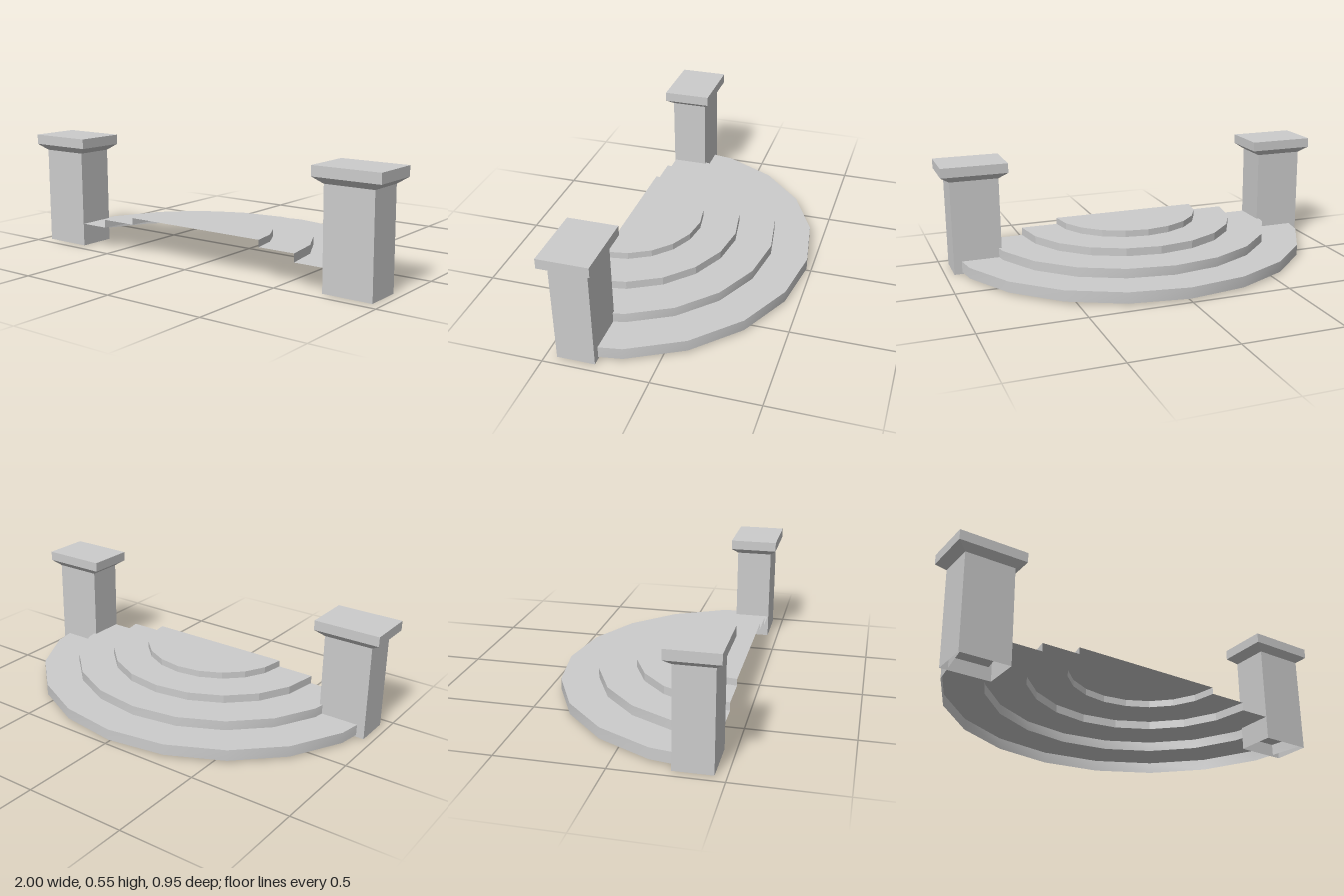
import * as THREE from 'three';

const material = new THREE.MeshStandardMaterial({ color: 0xcccccc, side: THREE.DoubleSide });
const FRONT = 0.443;
const SEGMENTS = 10;

// Surface between consecutive loops of equal length; a last loop of one point closes it as a fan
function loft(loops, smooth = false) {
  const positions = [], index = [], starts = [];
  for (const loop of loops) {
    starts.push(positions.length / 3);
    for (const p of loop) positions.push(...p);
  }
  for (let k = 0; k + 1 < loops.length; k++) {
    const a = starts[k], b = starts[k + 1];
    for (let i = 0; i + 1 < loops[k].length; i++) {
      if (loops[k + 1].length === 1) index.push(a + i, a + i + 1, b);
      else index.push(a + i, a + i + 1, b + i + 1, a + i, b + i + 1, b + i);
    }
  }
  let geometry = new THREE.BufferGeometry();
  geometry.setAttribute('position', new THREE.Float32BufferAttribute(positions, 3));
  geometry.setIndex(index);
  if (!smooth) geometry = geometry.toNonIndexed();
  geometry.computeVertexNormals();
  return geometry;
}

// Half ellipse bulging to the back, from left to right
function arc(rx, depth, y) {
  return Array.from({ length: SEGMENTS + 1 }, (_, i) => {
    const t = (i / SEGMENTS) * Math.PI;
    return [rx * Math.cos(t), y, FRONT - depth * Math.sin(t)];
  });
}

// Closed rectangular section
function rectangle(hx, hz, y) {
  return [[hx, y, hz], [hx, y, -hz], [-hx, y, -hz], [-hx, y, hz], [hx, y, hz]];
}

function mesh(name, geometry) {
  const m = new THREE.Mesh(geometry, material);
  m.name = name;
  return m;
}

export function createModel() {
  const model = new THREE.Group();
  model.name = 'curvedSteps';

  // Steps: open shells, each a curved riser and a flat tread
  const steps = [
    { rx: 0.945, depth: 0.921, bottom: 0.01, top: 0.065, smooth: true },
    { rx: 0.757, depth: 0.736, bottom: 0.065, top: 0.112, smooth: true },
    { rx: 0.567, depth: 0.551, bottom: 0.112, top: 0.152, smooth: false },
    { rx: 0.379, depth: 0.366, bottom: 0.152, top: 0.185, smooth: false },
  ];
  steps.forEach((s, i) => {
    const next = steps[i + 1];
    const step = new THREE.Group();
    step.name = `step${i + 1}`;
    const edge = arc(s.rx, s.depth, s.top);
    const inner = next ? arc(next.rx, next.depth, s.top) : [[0, s.top, FRONT]];
    step.add(mesh('riser', loft([arc(s.rx, s.depth, s.bottom), edge], s.smooth)));
    step.add(mesh('tread', loft([edge, inner])));
    model.add(step);
  });

  // Pillars: hollow shaft, flared neck and cap slab, open at the bottom
  for (const [name, side] of [['leftPillar', 1], ['rightPillar', -1]]) {
    const pillar = new THREE.Group();
    pillar.name = name;
    pillar.position.set(side * 0.835, 0, 0.357);
    pillar.add(mesh('shaft', loft([rectangle(0.121, 0.09, 0), rectangle(0.121, 0.09, 0.472)])));
    pillar.add(mesh('cap', loft([
      rectangle(0.121, 0.09, 0.472),
      rectangle(0.165, 0.12, 0.502),
      rectangle(0.165, 0.12, 0.55),
      [[0, 0.55, 0]],
    ])));
    model.add(pillar);
  }
  return model;
}
